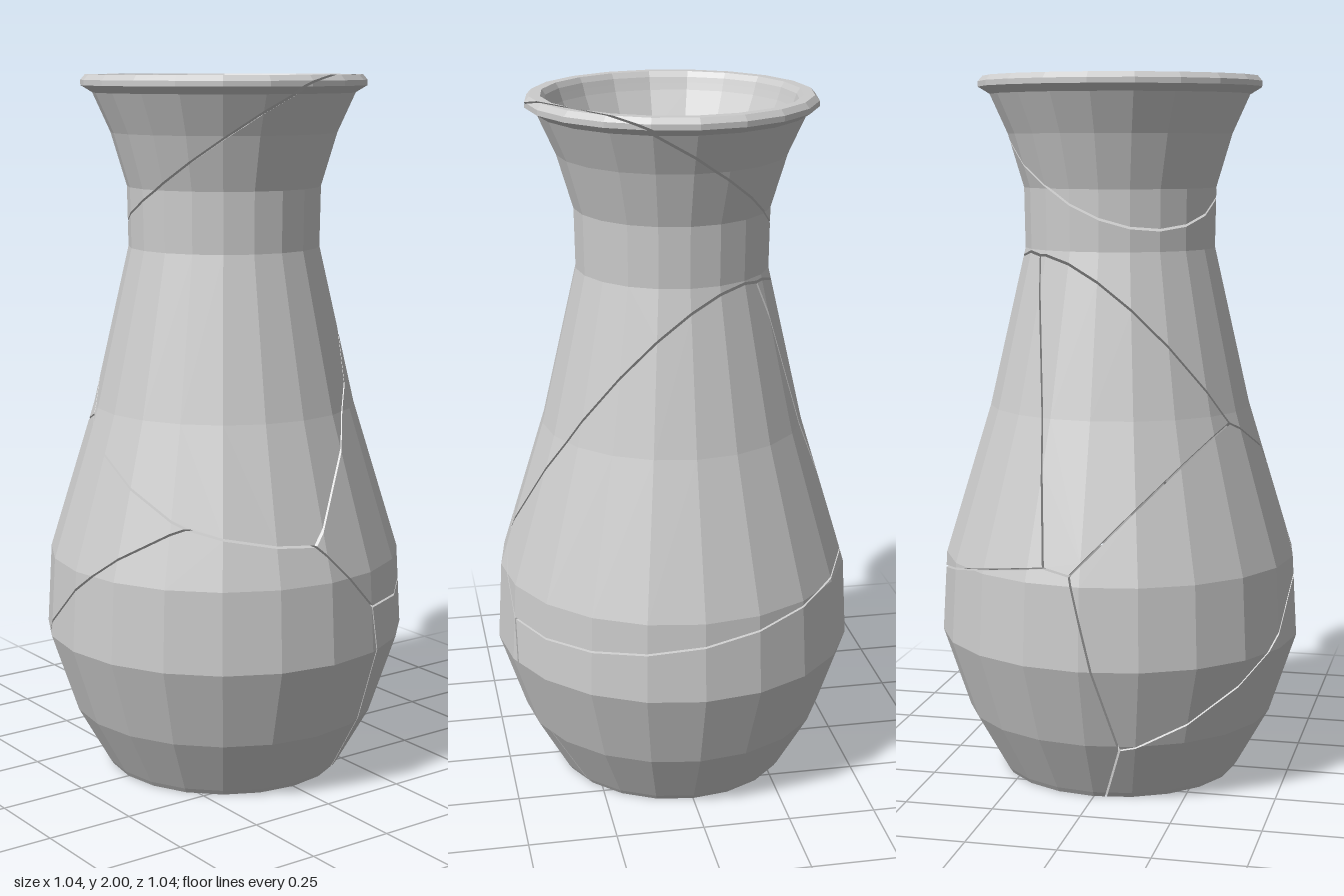
import * as THREE from 'three';

const SIDES = 20;
const GAP = 0.003; // half the width of a crack

// Wall profile, bottom to top: [outer radius, outer y, inner radius, inner y]
const WALL = [
  [0.35, 0.015, 0.33, 0.04], [0.443, 0.18, 0.413, 0.18], [0.52, 0.41, 0.49, 0.41],
  [0.507, 0.64, 0.477, 0.64], [0.375, 1.07, 0.345, 1.07], [0.272, 1.52, 0.24, 1.52],
  [0.275, 1.69, 0.243, 1.69], [0.32, 1.84, 0.288, 1.84], [0.37, 1.95, 0.338, 1.95],
  [0.403, 1.97, 0.345, 1.97], [0.403, 1.985, 0.35, 1.985], [0.39, 2.0, 0.36, 2.0],
];

// Each shard owns the region where its linear function a*x + b*y + c*z + d is largest
const SHARDS = {
  lowerFrontShard: [0, 0, 0, 0],
  lowerBackShard: [-0.875, 0.425, -2.5, -0.21],
  frontShard: [-0.81, 1, -0.19, -0.49],
  neckShard: [1.35, 5, -0.19, -4.33],
  backShard: [-0.57, 2.6, -2.73, -1.57],
  sideShard: [-0.7, 2.71, -2.01, -1.63],
  rimShard: [-0.85, 9, 1.29, -11.37],
};

// Convex cross-sections (counter-clockwise r, y); shown lists the edges on the surface
function crossSections() {
  const [r, y, ri, yi] = WALL[0];
  const list = [{ pts: [[0, 0], [0.34, 0], [r, y], [ri, yi], [0, yi]], shown: [0, 1, 3] }];
  for (let i = 0; i < WALL.length - 1; i++) {
    const a = WALL[i], b = WALL[i + 1];
    list.push({
      pts: [[a[0], a[1]], [b[0], b[1]], [b[2], b[3]], [a[2], a[3]]],
      shown: i === WALL.length - 2 ? [0, 1, 2] : [0, 2],
    });
  }
  return list;
}

// Sweep a cross-section over one side of the vase into a convex block
function makeBlock({ pts, shown }, side) {
  const at = ([r, y], k) => {
    const a = (k / SIDES) * Math.PI * 2;
    return new THREE.Vector3(r * Math.sin(a), y, r * Math.cos(a));
  };
  const faces = pts.map((p, i) => {
    const q = pts[(i + 1) % pts.length];
    return {
      pts: [at(p, side), at(p, side + 1), at(q, side + 1), at(q, side)],
      visible: shown.includes(i),
    };
  });
  faces.push({ pts: pts.map((p) => at(p, side)), visible: false });
  faces.push({ pts: pts.map((p) => at(p, side + 1)).reverse(), visible: false });
  return faces;
}

// Keep the part of a convex block in front of a plane and close the cut
function clipBlock(faces, plane) {
  const out = [], cut = [];
  for (const face of faces) {
    const kept = [];
    face.pts.forEach((p, i) => {
      const q = face.pts[(i + 1) % face.pts.length];
      const dp = plane.distanceToPoint(p), dq = plane.distanceToPoint(q);
      if (dp >= 0) kept.push(p);
      if (dp >= 0 !== dq >= 0) {
        const c = p.clone().lerp(q, dp / (dp - dq));
        kept.push(c);
        cut.push(c);
      }
    });
    if (kept.length > 2) out.push({ pts: kept, visible: face.visible });
  }
  if (cut.length > 2 && out.length) {
    const w = plane.normal.clone().negate();
    const axis = Math.abs(w.y) < 0.8 ? new THREE.Vector3(0, 1, 0) : new THREE.Vector3(1, 0, 0);
    const u = axis.cross(w).normalize();
    const v = w.clone().cross(u);
    const mid = cut.reduce((s, p) => s.add(p), new THREE.Vector3()).divideScalar(cut.length);
    const angle = (p) => {
      const d = p.clone().sub(mid);
      return Math.atan2(d.dot(v), d.dot(u));
    };
    cut.sort((a, b) => angle(a) - angle(b));
    out.push({ pts: cut, visible: true });
  }
  return out;
}

// Planes that bound one shard, pulled in by the crack width
function shardPlanes(own) {
  return Object.values(SHARDS).filter((f) => f !== own).map((f) => {
    const n = new THREE.Vector3(own[0] - f[0], own[1] - f[1], own[2] - f[2]);
    const len = n.length();
    return new THREE.Plane(n.divideScalar(len), (own[3] - f[3]) / len - GAP);
  });
}

function shardGeometry(own, sections) {
  const planes = shardPlanes(own);
  const pos = [];
  const ab = new THREE.Vector3(), ac = new THREE.Vector3();
  for (const section of sections) {
    for (let side = 0; side < SIDES; side++) {
      let faces = makeBlock(section, side);
      for (const plane of planes) faces = clipBlock(faces, plane);
      for (const { pts, visible } of faces) {
        if (!visible) continue;
        for (let i = 1; i < pts.length - 1; i++) {
          const [a, b, c] = [pts[0], pts[i], pts[i + 1]];
          if (ab.subVectors(b, a).cross(ac.subVectors(c, a)).length() < 1e-9) continue;
          for (const p of [a, b, c]) pos.push(p.x, p.y, p.z);
        }
      }
    }
  }
  const geo = new THREE.BufferGeometry();
  geo.setAttribute('position', new THREE.Float32BufferAttribute(pos, 3));
  geo.computeVertexNormals();
  return geo;
}

export function createModel() {
  const vase = new THREE.Group();
  vase.name = 'crackedVase';
  const material = new THREE.MeshStandardMaterial({ color: 0xcccccc, flatShading: true });
  const sections = crossSections();
  for (const [name, own] of Object.entries(SHARDS)) {
    const shard = new THREE.Mesh(shardGeometry(own, sections), material);
    shard.name = name;
    vase.add(shard);
  }
  return vase;
}
